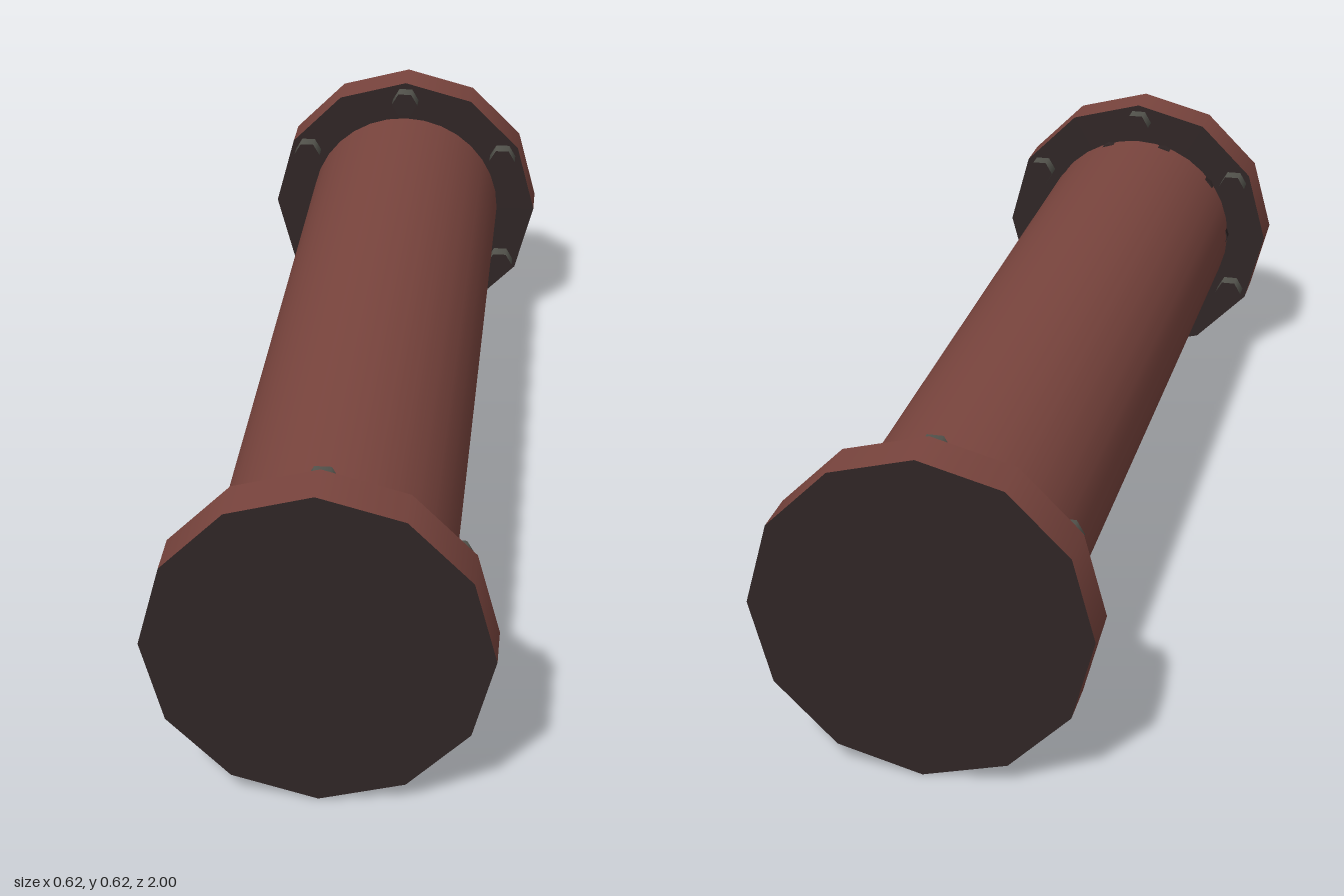
import * as THREE from 'three';

const paint = (name, color) => {
  const m = new THREE.MeshStandardMaterial({ color });
  m.name = name;
  return m;
};

export function createModel() {
  const rust = paint('rust red', 0x7a453e);
  const dark = paint('dark iron', 0x2f2525);
  const steel = paint('bolt steel', 0x55554e);

  const model = new THREE.Group();
  model.name = 'flangedPipe';
  const axisY = 0.308;

  // Cylinder lying along z, with side and end materials
  const rod = (name, radius, z0, z1, sides, materials, x = 0, y = 0, turn = 0) => {
    const geometry = new THREE.CylinderGeometry(radius, radius, z1 - z0, sides, 1, false, turn);
    geometry.rotateX(Math.PI / 2);
    const mesh = new THREE.Mesh(geometry, materials);
    mesh.name = name;
    mesh.position.set(x, axisY + y, (z0 + z1) / 2);
    model.add(mesh);
  };

  // Pipe
  rod('pipe', 0.22, -0.93, 0.93, 32, [rust, dark, dark]);

  // Dark seal whose corners just break through the front end of the pipe
  rod('seal', 0.2235, 0.89, 0.93, 10, dark, 0, 0, 0.3);

  for (const end of [1, -1]) {
    const span = (a, b) => (end > 0 ? [a, b] : [-b, -a]);

    // Twelve-sided end flange
    rod('flange', 0.308, ...span(0.908, 1), 12, [rust, dark, dark]);

    // Six hexagonal bolts on the inner side of the flange
    for (let i = 0; i < 6; i++) {
      const a = Math.PI / 6 + (i * Math.PI) / 3;
      rod('bolt', 0.03, ...span(0.872, 0.92), 6, [steel, dark, dark],
        0.267 * Math.cos(a), 0.267 * Math.sin(a), Math.PI / 2);
    }
  }
  return model;
}
